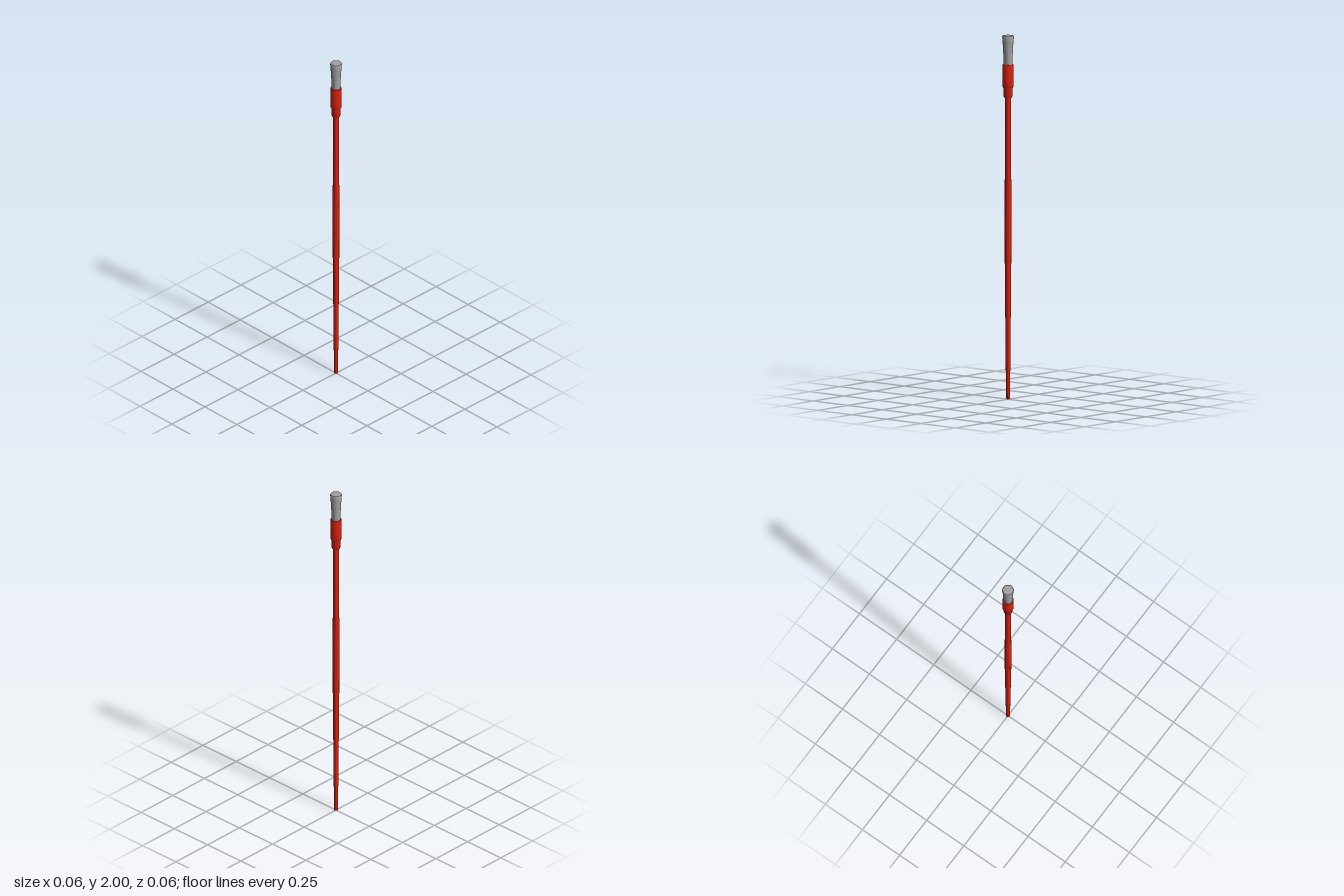
import * as THREE from 'three';
import { toCreasedNormals } from 'three/addons/utils/BufferGeometryUtils.js';

export function createModel() {
  const group = new THREE.Group();
  const red = new THREE.MeshStandardMaterial({ name: 'red', color: 0xd8200c });
  const grey = new THREE.MeshStandardMaterial({ name: 'grey', color: 0xa2a2a2 });

  // Turned part from [radius, height] pairs, listed bottom to top
  function turned(name, material, profile) {
    const points = profile.map(([r, y]) => new THREE.Vector2(r, y));
    const geometry = toCreasedNormals(new THREE.LatheGeometry(points, 32), 0.6);
    const mesh = new THREE.Mesh(geometry, material);
    mesh.name = name;
    group.add(mesh);
  }

  // Slender handle, thickest around the middle, with a rounded tip
  turned('handle', red, [
    [0, 0], [0.008, 0.001], [0.0105, 0.004], [0.0115, 0.01], [0.0125, 0.2],
    [0.0145, 0.4], [0.0165, 0.6], [0.018, 0.78], [0.0187, 0.92], [0.0185, 1.05],
    [0.0175, 1.25], [0.0165, 1.45], [0.016, 1.68], [0, 1.68],
  ]);

  // Narrow collar joining handle and ferrule
  turned('collar', red, [
    [0, 1.658], [0.021, 1.658], [0.0235, 1.664], [0.0255, 1.72], [0, 1.72],
  ]);

  // Wider ferrule holding the bristles
  turned('ferrule', red, [
    [0, 1.713], [0.027, 1.713], [0.0295, 1.718], [0.0305, 1.73],
    [0.0305, 1.834], [0.029, 1.84], [0, 1.84],
  ]);

  // Bristle bundle flaring towards its flat, soft-edged end
  turned('bristles', grey, [
    [0, 1.83], [0.0235, 1.83], [0.0245, 1.87], [0.0268, 1.92], [0.0295, 1.965],
    [0.0318, 1.992], [0.0312, 1.996], [0.029, 1.999], [0.025, 2], [0, 2],
  ]);

  return group;
}
